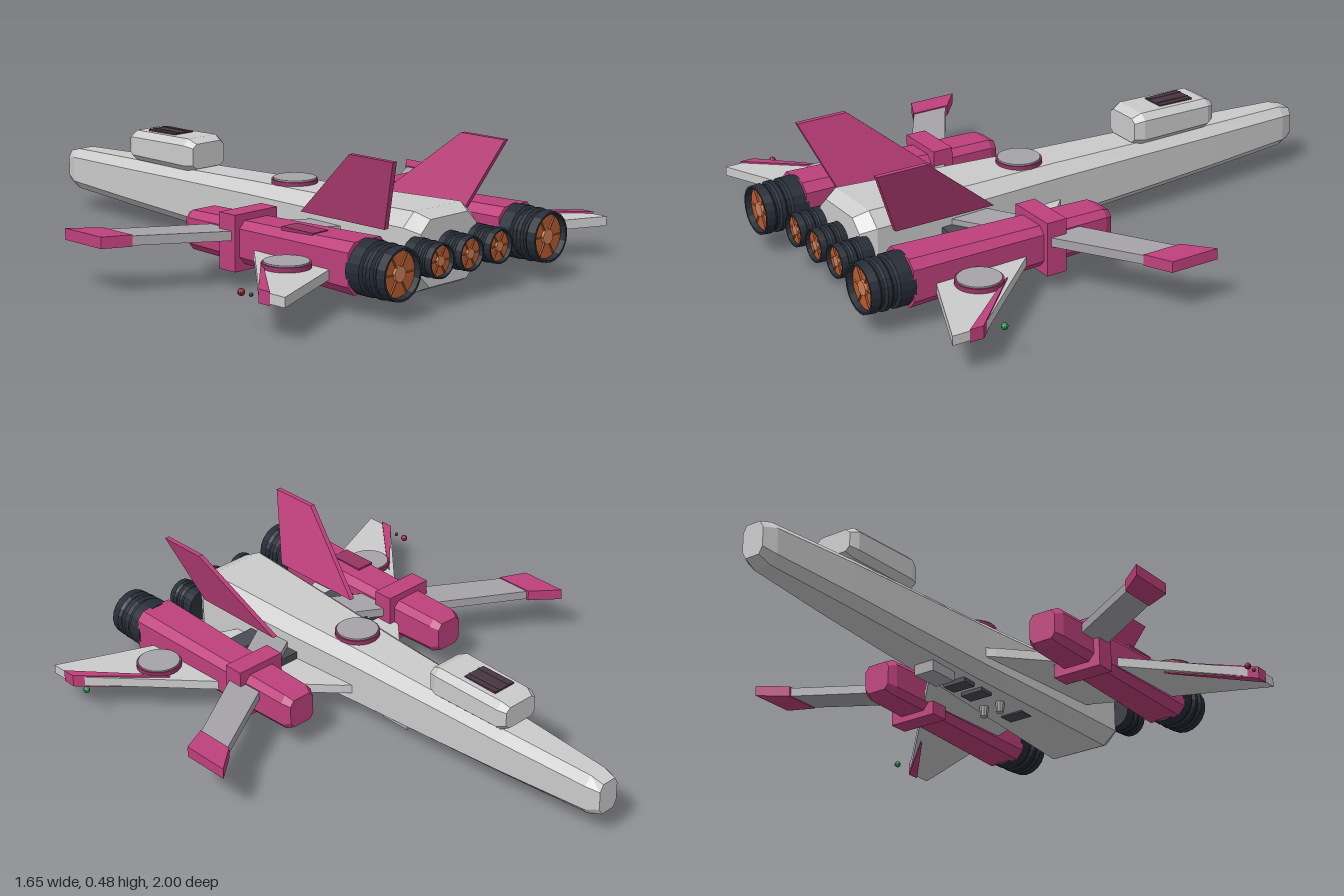
import * as THREE from 'three';

const mat = (color) => new THREE.MeshStandardMaterial({ color, flatShading: true });
const grey = mat(0xcccccc), wingGrey = mat(0xa6a4a8), pink = mat(0xbe407c), deepPink = mat(0x963563);
const dark = mat(0x262c36), strutGrey = mat(0x4a4c54), glow = mat(0xb85c30), hub = mat(0xcc8058);
const glass = mat(0x4a3440), green = mat(0x1f8f4f), red = mat(0x8a2030);

export function createModel() {
  const ship = new THREE.Group();
  ship.name = 'spaceship';

  function add(name, geometry, material, x = 0, y = 0, z = 0, parent = ship) {
    const m = new THREE.Mesh(geometry, material);
    m.name = name;
    m.position.set(x, y, z);
    parent.add(m);
    return m;
  }
  const box = (name, material, w, h, d, x, y, z) => add(name, new THREE.BoxGeometry(w, h, d), material, x, y, z);

  // Eight-sided hull; each section is [z, halfWidth, bottom, top, chamferX, chamferY]
  function hull(sections) {
    const rings = sections.map(([z, w, b, t, cx, cy]) => [
      [w - cx, b, z], [w, b + cy, z], [w, t - cy, z], [w - cx, t, z],
      [cx - w, t, z], [-w, t - cy, z], [-w, b + cy, z], [cx - w, b, z],
    ]);
    const pos = [];
    const tri = (...p) => p.forEach((v) => pos.push(...v));
    for (let i = 0; i < rings.length - 1; i++) {
      for (let k = 0; k < 8; k++) {
        const n = (k + 1) % 8, a = rings[i], c = rings[i + 1];
        tri(a[k], a[n], c[n]);
        tri(a[k], c[n], c[k]);
      }
    }
    const first = rings[0], last = rings[rings.length - 1];
    for (let k = 1; k < 7; k++) {
      tri(first[0], first[k + 1], first[k]);
      tri(last[0], last[k], last[k + 1]);
    }
    const g = new THREE.BufferGeometry();
    g.setAttribute('position', new THREE.Float32BufferAttribute(pos, 3));
    g.computeVertexNormals();
    return g;
  }

  // Horizontal slab from an [x, z] outline between two heights
  function slab(outline, y0, y1, side) {
    const shape = new THREE.Shape(outline.map(([x, z]) => new THREE.Vector2(side * x, -z)));
    const g = new THREE.ExtrudeGeometry(shape, { depth: y1 - y0, bevelEnabled: false });
    return g.rotateX(-Math.PI / 2).translate(0, y0, 0);
  }

  // Canted fin from a [z, y] outline, leaning outward
  function fin(outline, thickness, side) {
    const shape = new THREE.Shape(outline.map(([z, y]) => new THREE.Vector2(-z, y)));
    const g = new THREE.ExtrudeGeometry(shape, { depth: thickness, bevelEnabled: false });
    g.rotateY(Math.PI / 2);
    const p = g.attributes.position;
    for (let i = 0; i < p.count; i++) {
      p.setX(i, p.getX(i) - thickness / 2 + side * (0.19 + (p.getY(i) - 0.24) * 0.33));
    }
    g.computeVertexNormals();
    return g;
  }

  // Ribbed nozzle with a recessed glowing face
  function engine(name, x, y, z, r, length) {
    const e = new THREE.Group();
    e.name = name;
    e.position.set(x, y, z);
    ship.add(e);
    const profile = [[0, 0], [0.98, 0], [0.98, 0.36], [0.86, 0.4], [0.86, 0.48], [0.97, 0.54], [0.97, 0.64],
      [0.86, 0.68], [0.86, 0.74], [0.95, 0.8], [0.92, 1], [0.84, 1], [0.8, 0.8], [0, 0.8]];
    const pts = profile.map(([a, b]) => new THREE.Vector2(a * r, b * length));
    add('nozzle', new THREE.LatheGeometry(pts, 20).rotateX(Math.PI / 2), dark, 0, 0, 0, e);
    const disc = (n, rad, d, m, zz) =>
      add(n, new THREE.CylinderGeometry(rad, rad, d, 20).rotateX(Math.PI / 2), m, 0, 0, zz, e);
    disc('glow', r * 0.81, 0.01, glow, length * 0.84);
    disc('hub', r * 0.27, 0.02, hub, length * 0.87);
    for (let i = 0; i < 3; i++) {
      const blade = add('vane', new THREE.BoxGeometry(r * 1.5, 0.004, 0.012), glow, 0, 0, length * 0.87, e);
      blade.rotation.z = (i * Math.PI) / 3;
    }
  }

  // Round hatch with a coloured rim
  function hatch(x, y, z, h) {
    add('hatchRim', new THREE.CylinderGeometry(0.08, 0.08, h * 0.8, 28), deepPink, x, y + h * 0.4, z);
    add('hatchLid', new THREE.CylinderGeometry(0.074, 0.074, h, 28), wingGrey, x, y + h / 2, z);
  }

  // Fuselage, tapering forward to the nose
  add('fuselage', hull([
    [-1, 0.042, 0.105, 0.222, 0.014, 0.025],
    [-0.95, 0.06, 0.085, 0.236, 0.027, 0.03],
    [-0.6, 0.085, 0.072, 0.247, 0.033, 0.032],
    [-0.29, 0.1, 0.06, 0.256, 0.038, 0.034],
    [0.07, 0.118, 0.048, 0.267, 0.045, 0.038],
    [0.39, 0.14, 0.037, 0.276, 0.048, 0.042],
    [0.82, 0.165, 0.022, 0.29, 0.052, 0.046],
    [0.87, 0.135, 0.045, 0.268, 0.045, 0.042],
  ]), grey);

  // Cabin and its windows
  add('cabin', hull([
    [-0.61, 0.07, 0.265, 0.345, 0.018, 0.015],
    [-0.58, 0.086, 0.25, 0.36, 0.024, 0.022],
    [-0.3, 0.09, 0.25, 0.366, 0.024, 0.022],
    [-0.265, 0.075, 0.26, 0.35, 0.018, 0.015],
  ]), grey);
  box('roofWindow', glass, 0.09, 0.01, 0.14, 0, 0.363, -0.465);
  for (const x of [-0.022, 0.022]) box('windowFrame', strutGrey, 0.005, 0.012, 0.14, x, 0.364, -0.465);

  hatch(0, 0.262, 0.17, 0.028);

  // Belly equipment
  box('bellyBay', wingGrey, 0.08, 0.045, 0.12, 0, 0.038, -0.06);
  for (const z of [0.08, 0.18, 0.42]) box('bellyPanel', strutGrey, 0.09, 0.02, 0.06, 0, 0.042, z);
  for (const x of [-0.02, 0.05]) {
    add('bellySensor', new THREE.CylinderGeometry(0.018, 0.014, 0.045, 10), wingGrey, x, 0.026, 0.295);
  }

  // Main engines
  for (const x of [-0.143, 0, 0.143]) engine('mainEngine', x, 0.158, 0.85, 0.062, 0.12);

  for (const s of [-1, 1]) {
    // Side pod with its band and engine
    add('pod', hull([
      [0.07, 0.052, 0.105, 0.212, 0.015, 0.02],
      [0.1, 0.068, 0.092, 0.226, 0.02, 0.024],
      [0.5, 0.078, 0.084, 0.235, 0.024, 0.026],
      [0.85, 0.087, 0.075, 0.245, 0.028, 0.03],
    ]), pink, s * 0.36);
    box('podBand', pink, 0.19, 0.19, 0.075, s * 0.36, 0.16, 0.315);
    engine('podEngine', s * 0.36, 0.158, 0.84, 0.093, 0.16);

    // Braces between pod and fuselage
    box('brace', strutGrey, 0.2, 0.05, 0.08, s * 0.22, 0.155, 0.53);
    box('brace', strutGrey, 0.2, 0.04, 0.06, s * 0.22, 0.155, 0.37);

    // Forward-swept wing with coloured tip
    add('forwardWing', slab([[0.1, 0.41], [0.735, 0.025], [0.735, 0.16], [0.1, 0.56]], 0.168, 0.2, s), wingGrey);
    add('forwardWingTip', slab([[0.73, 0.02], [0.825, -0.06], [0.825, 0.12], [0.73, 0.165]], 0.165, 0.204, s), pink);

    // Rear delta wing with leading edge strip
    add('rearWing', slab([[0.1, 0.06], [0.145, 0.1], [0.78, 0.8], [0.78, 0.91], [0.1, 0.62]], 0.115, 0.148, s), grey);
    add('rearWingStrip', slab([[0.54, 0.56], [0.783, 0.8], [0.783, 0.85], [0.55, 0.58]], 0.11, 0.154, s), pink);
    hatch(s * 0.515, 0.145, 0.65, 0.024);

    // Tail fin
    add('tailFin', fin([[0.395, 0.235], [0.69, 0.48], [0.877, 0.48], [0.77, 0.235]], 0.018, s), pink);

    // Wingtip light
    add('tipLight', new THREE.SphereGeometry(0.012, 10, 8), s > 0 ? green : red, s * 0.782, 0.13, 0.725);
  }

  // Single-sided details
  add('tipSensor', new THREE.SphereGeometry(0.007, 8, 6), strutGrey, -0.782, 0.13, 0.768);
  box('podVent', deepPink, 0.07, 0.02, 0.14, -0.385, 0.233, 0.6);

  return ship;
}
